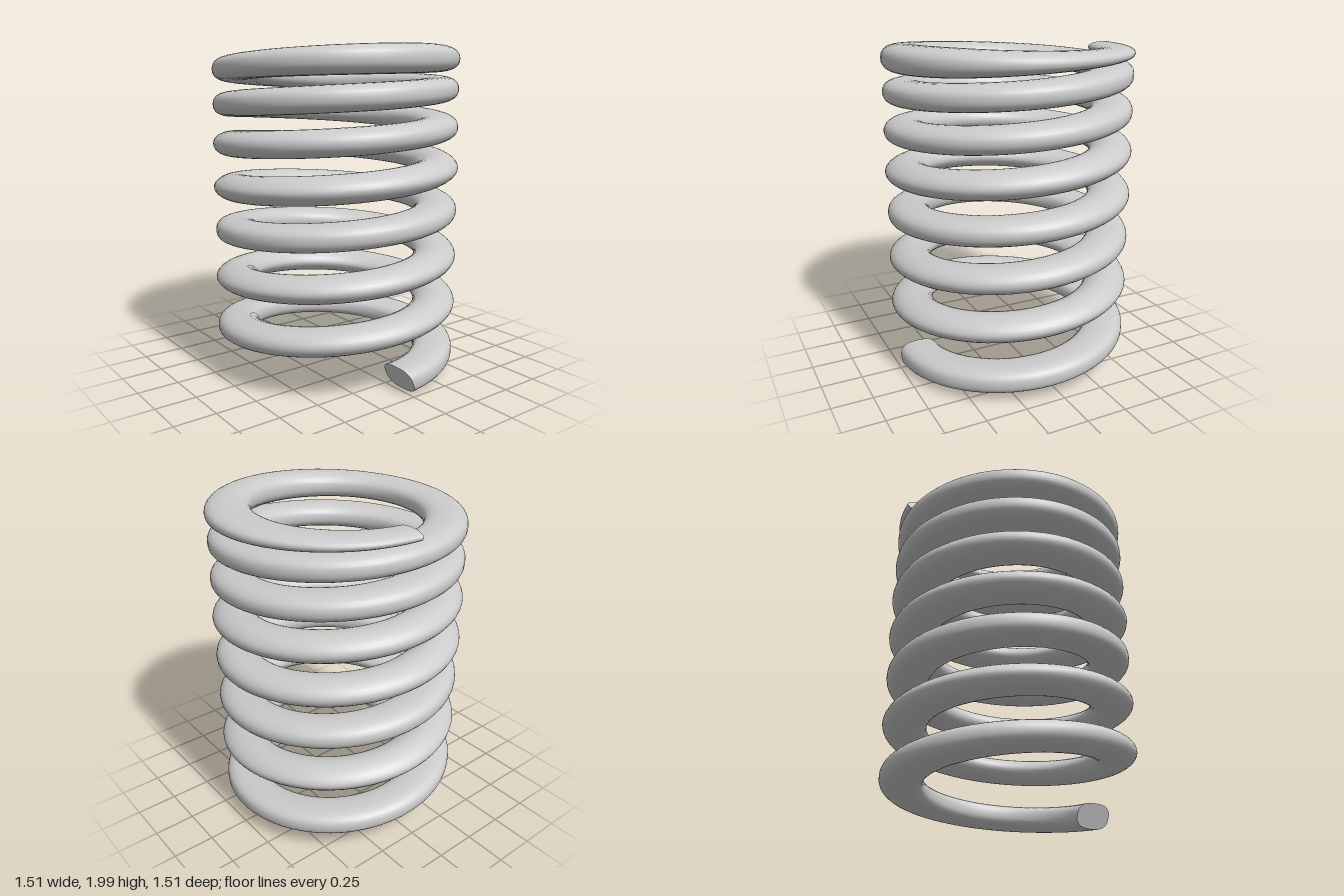
import * as THREE from 'three';

const TURNS = 7.49, RINGS_PER_TURN = 60, SIDES = 32;

// Centre height of the wire at every half turn; the coils close up towards the top
const HEIGHTS = [0.08, 0.22, 0.39, 0.54, 0.69, 0.84, 0.98, 1.11, 1.24, 1.38, 1.49, 1.62, 1.72, 1.83, 1.913, 1.942]
  .map((y, i) => [i / 2, y]);

// Wire section along the spring: [turn, coil radius, half width, half height, roundness exponent]
const SECTIONS = [
  [0, 0.623, 0.122, 0.075, 2.7],
  [0.5, 0.625, 0.126, 0.075, 2.5],
  [1, 0.625, 0.13, 0.08, 1.9],
  [2, 0.625, 0.13, 0.08, 1.9],
  [2.75, 0.624, 0.126, 0.077, 2.5],
  [3.5, 0.626, 0.13, 0.082, 1.9],
  [4.25, 0.626, 0.13, 0.082, 1.9],
  [5, 0.624, 0.127, 0.077, 2.2],
  [6, 0.622, 0.126, 0.075, 2.5],
  [6.75, 0.622, 0.126, 0.073, 2.5],
  [7, 0.622, 0.126, 0.082, 2.5],
  [7.1, 0.622, 0.128, 0.077, 2.4],
  [7.25, 0.622, 0.13, 0.053, 2.3],
  [7.38, 0.634, 0.117, 0.04, 2.2],
  [7.5, 0.643, 0.098, 0.032, 2.1],
];

// Smooth interpolation of one column of a keyed table (cubic Hermite)
function sample(keys, t, col = 1) {
  let i = 0;
  while (i < keys.length - 2 && keys[i + 1][0] < t) i++;
  const slope = (k) => {
    const a = keys[Math.max(k - 1, 0)], b = keys[Math.min(k + 1, keys.length - 1)];
    return (b[col] - a[col]) / (b[0] - a[0]);
  };
  const p = keys[i], q = keys[i + 1], d = q[0] - p[0], u = (t - p[0]) / d;
  const u2 = u * u, u3 = u2 * u;
  return p[col] * (2 * u3 - 3 * u2 + 1) + q[col] * (3 * u2 - 2 * u3)
    + d * (slope(i) * (u3 - 2 * u2 + u) + slope(i + 1) * (u3 - u2));
}

// Points of the rounded wire section at turn t
function ring(t) {
  const [r, w, h, n] = [1, 2, 3, 4].map((c) => sample(SECTIONS, t, c));
  const y = sample(HEIGHTS, t);
  const lean = 0.4 * Math.max(0, 1 - t / 0.12); // slanted cut at the bottom end
  const power = (v) => Math.sign(v) * Math.abs(v) ** (2 / n);
  return Array.from({ length: SIDES }, (_, j) => {
    const a = (j / SIDES) * Math.PI * 2;
    const radius = r + w * power(Math.cos(a)), dy = h * power(Math.sin(a));
    const angle = t * Math.PI * 2 - (lean * dy) / radius;
    return new THREE.Vector3(radius * Math.cos(angle), y + dy, -radius * Math.sin(angle));
  });
}

function makeGeometry(points, index) {
  const geometry = new THREE.BufferGeometry().setFromPoints(points);
  geometry.setIndex(index);
  geometry.computeVertexNormals();
  return geometry;
}

// Swept wire surface
function coilGeometry() {
  const count = Math.round(TURNS * RINGS_PER_TURN);
  const points = [], index = [];
  for (let i = 0; i <= count; i++) {
    points.push(...ring((i / count) * TURNS));
    if (i === count) break;
    for (let j = 0; j < SIDES; j++) {
      const a = i * SIDES + j, b = i * SIDES + ((j + 1) % SIDES);
      index.push(a, a + SIDES, b, b, a + SIDES, b + SIDES);
    }
  }
  return makeGeometry(points, index);
}

// Flat cut face closing one end of the wire
function capGeometry(t, flip) {
  const points = ring(t), index = [];
  const centre = points.reduce((s, p) => s.add(p), new THREE.Vector3()).divideScalar(SIDES);
  for (let j = 0; j < SIDES; j++) {
    const k = (j + 1) % SIDES;
    index.push(SIDES, ...(flip ? [k, j] : [j, k]));
  }
  return makeGeometry([...points, centre], index);
}

export function createModel() {
  const group = new THREE.Group();
  group.name = 'coilSpring';
  const material = new THREE.MeshStandardMaterial({ color: 0xcccccc });
  const add = (name, geometry) => {
    const mesh = new THREE.Mesh(geometry, material);
    mesh.name = name;
    group.add(mesh);
  };
  add('coil', coilGeometry());
  add('bottomEnd', capGeometry(0, false));
  add('topEnd', capGeometry(TURNS, true));
  return group;
}
